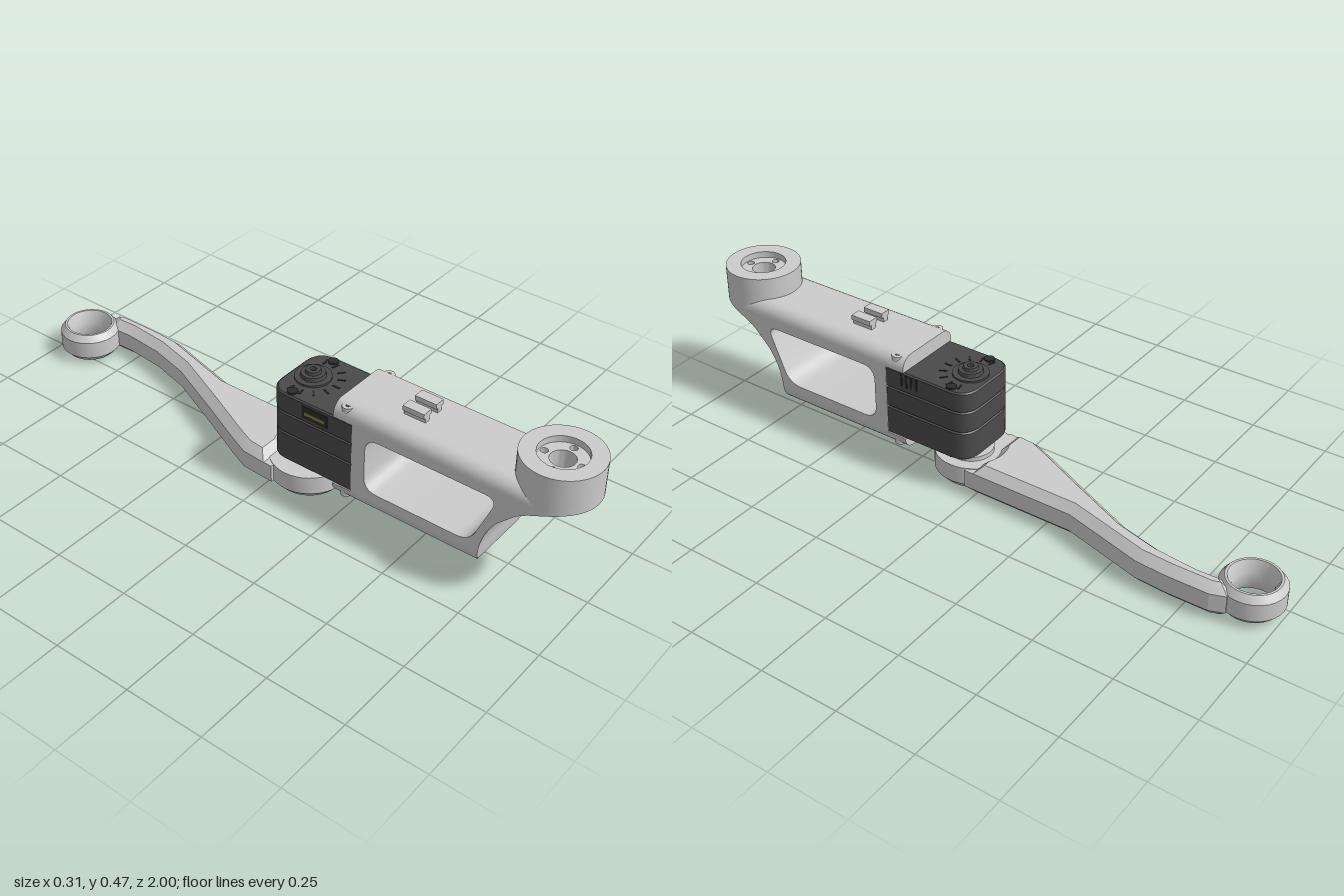
import * as THREE from 'three';
import { toCreasedNormals } from 'three/addons/utils/BufferGeometryUtils.js';

const CX = -0.023, W = 0.117, BOSS_Z = 0.885;
const grey = new THREE.MeshStandardMaterial({ color: 0xcccccc });
const dark = new THREE.MeshStandardMaterial({ color: 0x4a4a4a });
const black = new THREE.MeshStandardMaterial({ color: 0x2c2c2c });
const olive = new THREE.MeshStandardMaterial({ color: 0x8a8040 });

// Concave underside of the nose: height for a given z
const under = (z) => 0.11 + 0.25 * Math.sqrt(Math.max(0, 1 - ((1 - z) / 0.272) ** 2));

// Apply fn(vector) to every vertex
function moveVertices(geo, fn) {
  const p = geo.attributes.position, v = new THREE.Vector3();
  for (let i = 0; i < p.count; i++) {
    fn(v.fromBufferAttribute(p, i));
    p.setXYZ(i, v.x, v.y, v.z);
  }
  return geo;
}

// Closed polygon with rounded corners; each point is [x, y, radius]
function rounded(path, pts) {
  const n = pts.length;
  pts.forEach(([x, y, r = 0], i) => {
    const toward = ([a, b]) => {
      const l = Math.hypot(a - x, b - y);
      return [x + ((a - x) / l) * r, y + ((b - y) / l) * r];
    };
    const a = toward(pts[(i + n - 1) % n]), b = toward(pts[(i + 1) % n]);
    if (i) path.lineTo(...a); else path.moveTo(...a);
    if (r) path.quadraticCurveTo(x, y, ...b);
  });
  path.closePath();
  return path;
}

// Flat slab from an (x, z) shape; four heights: bottom, chamfer ends, top
function slab(shape, levels, chamfer) {
  const g = new THREE.ExtrudeGeometry(shape, {
    depth: 1, bevelThickness: 1, bevelSize: chamfer, bevelOffset: -chamfer, bevelSegments: 1, curveSegments: 10,
  });
  g.rotateX(Math.PI / 2);
  return moveVertices(g, (v) => { v.y = levels[Math.round(v.y + 2)]; });
}

const lathe = (pts, x, z, seg = 40) =>
  new THREE.LatheGeometry(pts.map((p) => new THREE.Vector2(...p)), seg).translate(x, 0, z);

export function createModel() {
  const model = new THREE.Group();
  const add = (name, geo, mat = grey, crease = 0.5) => {
    const m = new THREE.Mesh(toCreasedNormals(geo, crease), mat);
    m.name = name;
    model.add(m);
    return m;
  };
  const box = (name, x0, x1, y0, y1, z0, z1, mat) => add(name,
    new THREE.BoxGeometry(x1 - x0, y1 - y0, z1 - z0).translate((x0 + x1) / 2, (y0 + y1) / 2, (z0 + z1) / 2), mat);
  const disc = (name, r, y0, y1, x, z, mat, seg = 32) => add(name,
    new THREE.CylinderGeometry(r, r, y1 - y0, seg).translate(x, (y0 + y1) / 2, z), mat);

  // Upper link: side profile with window, swept across x with rounded long edges
  const side = new THREE.Shape();
  side.moveTo(0.24, 0.08);
  side.lineTo(0.705, 0.08);
  side.quadraticCurveTo(0.726, 0.08, 0.728, 0.11);
  for (let i = 1; i <= 14; i++) {
    const z = 0.728 + (BOSS_Z - 0.728) * (i / 14) ** 1.7;
    side.lineTo(z, under(z));
  }
  [[BOSS_Z, 0.4], [0.24, 0.4], [0.24, 0.352], [0.305, 0.352], [0.305, 0.118], [0.24, 0.118]]
    .forEach((p) => side.lineTo(...p));
  side.holes.push(rounded(new THREE.Path(),
    [[0.35, 0.15, 0.045], [0.35, 0.33, 0.045], [0.775, 0.33, 0.04], [0.7, 0.15, 0.045]]));
  const R = 0.04;
  const half = [90, 72, 54, 36, 18, 0].map((a) => W - R + R * Math.sin((a * Math.PI) / 180)).concat(0.05, 0.025);
  const xs = [...half.map((x) => -x), 0, ...half.slice().reverse()];
  const link = new THREE.ExtrudeGeometry(side, { depth: 1, steps: xs.length - 1, bevelEnabled: false, curveSegments: 6 });
  link.rotateY(-Math.PI / 2);
  moveVertices(link, (v) => {
    const x = xs[Math.round(-v.x * (xs.length - 1))];
    const d = R - Math.sqrt(Math.max(0, R * R - Math.max(0, Math.abs(x) - (W - R)) ** 2));
    const zEnd = BOSS_Z - Math.sqrt(Math.max(0, W * W - x * x));
    if (v.z > zEnd) {
      v.z = zEnd;
      if (v.y < 0.39) v.y = under(zEnd);
    }
    v.y = Math.min(0.4 - d, Math.max(0.08 + d, v.y));
    v.x = CX - x;
  });
  add('upperLink', link);

  // Round nose boss, with its underside following the concave curve
  const onCurve = (v) => { if (v.y < 0.01) v.y = under(v.z); };
  add('noseRing', moveVertices(lathe(
    [[0.07, 0], [0.085, 0], [0.1, 0], [W, 0], [W, 0.47], [0.07, 0.47], [0.07, 0.445]], CX, BOSS_Z, 48), onCurve));
  const plate = new THREE.Shape().absarc(0, 0, 0.071, 0, Math.PI * 2);
  plate.holes.push(new THREE.Path().absarc(0, 0, 0.036, 0, Math.PI * 2));
  for (let i = 0; i < 4; i++) {
    const a = (i * Math.PI) / 2;
    plate.holes.push(new THREE.Path().absarc(0.055 * Math.cos(a), 0.055 * Math.sin(a), 0.011, 0, Math.PI * 2));
  }
  const plateGeo = new THREE.ExtrudeGeometry(plate, { depth: 0.45, bevelEnabled: false, curveSegments: 14 });
  plateGeo.rotateX(Math.PI / 2).translate(CX, 0.45, BOSS_Z);
  add('nosePlate', moveVertices(plateGeo, onCurve));

  // Cable hooks on top of the link
  for (const s of [-1, 1]) {
    const c = CX + s * 0.029;
    box('hookStem', c - 0.009, c + 0.009, 0.395, 0.42, 0.42, 0.49);
    box('hookCap', c - 0.017, c + 0.017, 0.416, 0.432, 0.42, 0.49);
  }

  // Link screws, top and bottom
  for (const s of [-1, 1]) {
    for (const [y0, y1] of [[0.375, 0.394], [0.086, 0.105]]) {
      disc('linkScrew', 0.018, y0, y1, CX + s * 0.095, 0.275, grey, 20);
      disc('screwSocket', 0.008, y0 - 0.001, y1 + 0.001, CX + s * 0.095, 0.275, dark, 6);
    }
  }

  // Motor housing in three stacked layers
  const housing = rounded(new THREE.Shape(), [
    [CX - 0.116, 0.01, 0.065], [CX + 0.116, 0.01, 0.065], [CX + 0.116, 0.305], [CX - 0.116, 0.305]]);
  for (const [a, b] of [[0.12, 0.215], [0.215, 0.285], [0.285, 0.352]]) {
    add('motorHousing', slab(housing, [a, a + 0.004, b - 0.004, b], 0.005), dark);
  }
  // Dial, shaft and index marks on top
  add('motorDial', lathe([[0.055, 0.35], [0.055, 0.358], [0.038, 0.358], [0.036, 0.37], [0.024, 0.37],
    [0.022, 0.38], [0.01, 0.38], [0.01, 0.368], [0, 0.368]], CX, 0.08, 32), dark);
  for (let i = 0; i < 9; i++) {
    const a = ((i - 4) * Math.PI) / 7;
    const mark = add('dialMark', new THREE.BoxGeometry(0.006, 0.004, 0.024).translate(0, 0.352, 0.082), black);
    mark.position.set(CX, 0, 0.08);
    mark.rotation.y = a;
  }
  for (const s of [-1, 1]) {
    disc('motorScrew', 0.016, 0.345, 0.357, CX + s * 0.094, 0.08, black, 20);
    disc('motorScrew', 0.012, 0.114, 0.122, CX + s * 0.094, 0.08, black, 20);
  }
  // Cooling vents on one side, cable socket on the other
  for (let i = 0; i < 4; i++) {
    const z = 0.19 + i * 0.018;
    box('vent', CX + 0.11, CX + 0.1175, 0.305, 0.345, z, z + 0.008, black);
  }
  box('cableSocket', CX - 0.1175, CX - 0.11, 0.3, 0.34, 0.13, 0.22, black);
  box('socketPins', CX - 0.119, CX - 0.112, 0.312, 0.322, 0.14, 0.21, olive);

  // Output horn between motor and lower arm
  disc('hornDisc', 0.07, 0.084, 0.1, CX, 0.08, grey);
  disc('hornHub', 0.045, 0.098, 0.122, CX, 0.08, dark);

  // Lower arm: full-length base layer and chamfered top layer
  const rightEdge = [[0.08, -0.34], [0.115, -0.47], [0.15, -0.6], [0.156, -0.7], [0.155, -0.83], [0.138, -0.875]];
  const leftEdge = [[0.11, -0.87], [0.085, -0.84], [0.088, -0.77], [0.075, -0.635], [0.04, -0.5],
    [-0.05, -0.3], [-0.12, -0.15], [-0.15, -0.08]];
  const armShape = (cx, r, deg, z) => {
    const s = new THREE.Shape(), a = (deg * Math.PI) / 180;
    s.moveTo(0.08, z);
    [...rightEdge, ...leftEdge, [-0.156, z]].forEach((p) => s.lineTo(...p));
    s.absarc(cx, 0.08, r, -Math.PI + a, -a, false);
    s.closePath();
    return s;
  };
  add('lowerArmBase', slab(armShape(-0.037, 0.07, 35, 0.03), [0, 0.027, 0.084, 0.084], 0.026), grey, 0.25);
  add('lowerArmTop', slab(armShape(CX, 0.09, 60, 0), [0.084, 0.084, 0.084, 0.11], 0.026), grey, 0.25);

  // Round motor end of the arm with a recess and hub beneath
  const recessed = lathe([[0, 0.022], [0.03, 0.022], [0.03, 0.045], [0.084, 0.045], [0.09, 0.002], [0.096, 0.002],
    [0.12, 0.028], [0.12, 0.086], [0, 0.086]], -0.037, 0.08);
  add('armMotorEnd', recessed);
  for (let i = 0; i < 4; i++) {
    const a = ((i + 0.5) * Math.PI) / 2;
    disc('hornScrew', 0.011, 0.036, 0.05, -0.037 + 0.055 * Math.cos(a), 0.08 + 0.055 * Math.sin(a), dark, 16);
  }
  disc('hubSocket', 0.014, 0.02, 0.03, -0.037, 0.08, black, 6);

  // Ring at the far end of the arm
  add('endRing', lathe([[0.058, 0.03], [0.068, 0.008], [0.078, 0.008], [0.096, 0.028], [0.096, 0.084], [0.08, 0.105],
    [0.073, 0.105], [0.058, 0.07], [0.058, 0.03]], 0.042, -0.904, 28));

  return model;
}
